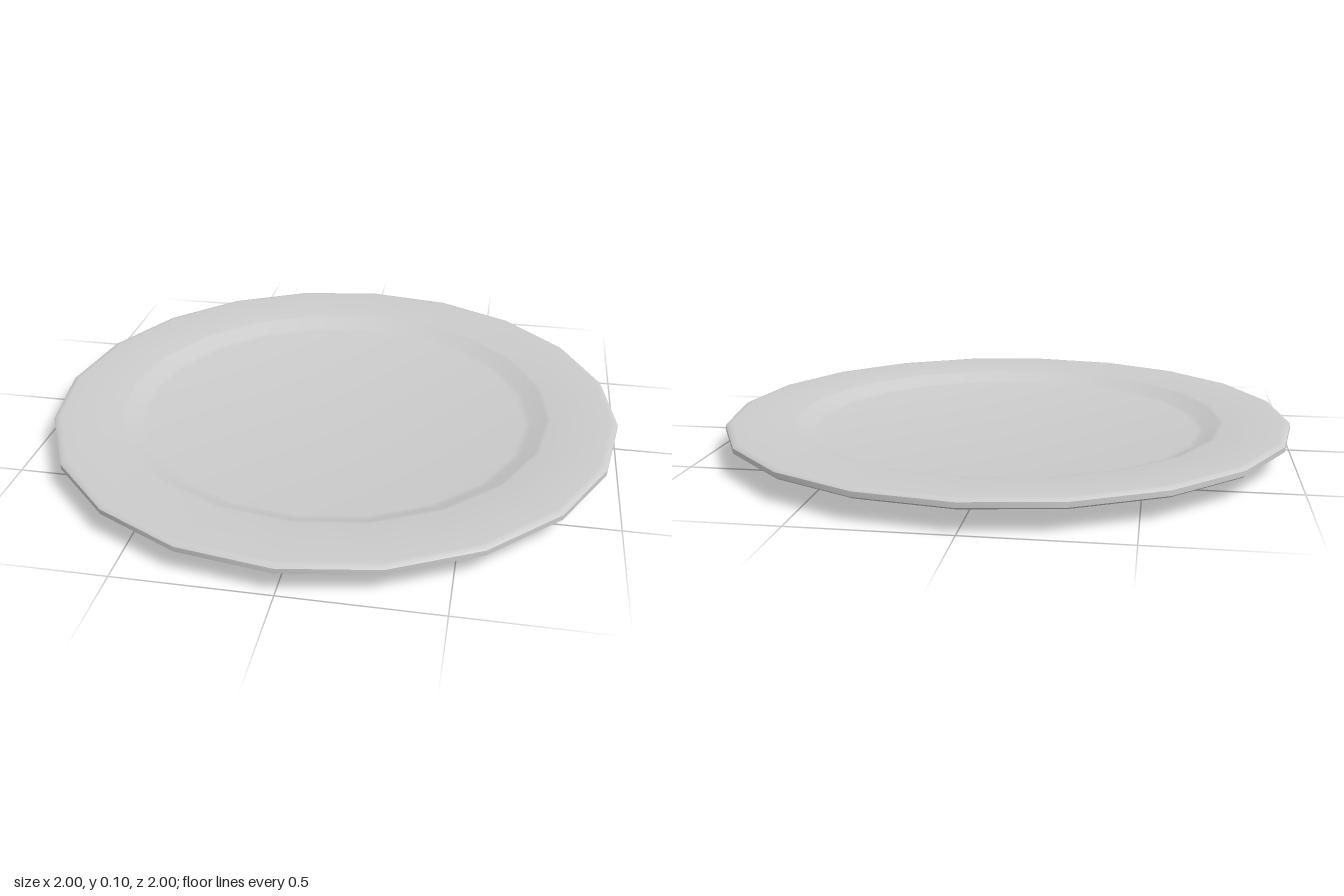
import * as THREE from 'three';
import { toCreasedNormals } from 'three/addons/utils/BufferGeometryUtils.js';

const SIDES = 20;

export function createModel() {
  const group = new THREE.Group();
  group.name = 'plate';

  // Cross-section [radius, height], from the underside centre round to the top centre
  const profile = [
    [0, 0.012], [0.42, 0.012], [0.43, 0],                     // recess inside the foot
    [0.475, 0], [0.475, 0.021],                               // foot ring
    [0.95, 0.07], [0.99, 0.073],                              // sloping underside
    [1, 0.08], [1, 0.097], [0.99, 0.104], [0.975, 0.105],     // rounded outer edge
    [0.77, 0.095], [0.755, 0.092], [0.705, 0.064], [0.68, 0.06], // rim and well wall
    [0, 0.056],                                               // well floor
  ].map(([r, y]) => new THREE.Vector2(r, y));

  const plate = new THREE.Mesh(
    toCreasedNormals(new THREE.LatheGeometry(profile, SIDES), 0.95),
    new THREE.MeshStandardMaterial({ color: 0xcccccc })
  );
  plate.name = 'plateBody';
  group.add(plate);
  return group;
}
